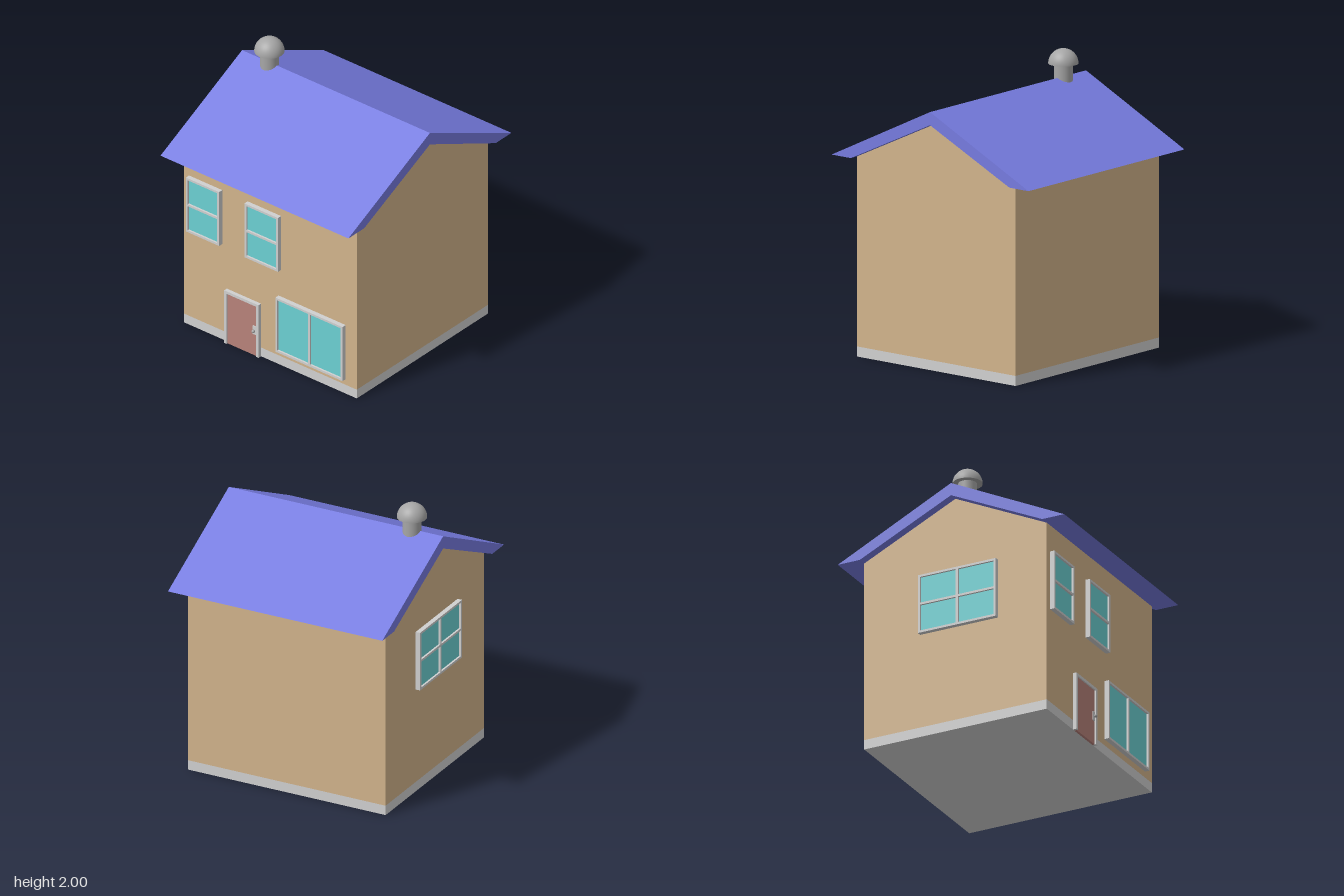
import * as THREE from 'three';

const material = (name, color) => {
  const m = new THREE.MeshStandardMaterial({ color });
  m.name = name;
  return m;
};

export function createModel() {
  const house = new THREE.Group();
  house.name = 'house';

  const tan = material('tan wall', 0xd2b48c);
  const lightGrey = material('light grey trim', 0xd0d0d0);
  const blue = material('blue roof', 0x767be0);
  const glass = material('turquoise glass', 0x6cd1d3);
  const red = material('dusty red door', 0xb8827a);
  const grey = material('grey metal', 0xa6a6a6);

  const add = (parent, name, geometry, mat, x = 0, y = 0, z = 0) => {
    const mesh = new THREE.Mesh(geometry, mat);
    mesh.name = name;
    mesh.position.set(x, y, z);
    parent.add(mesh);
    return mesh;
  };

  // Box given by its limits on each axis
  const block = (parent, name, mat, x0, x1, y0, y1, z0, z1) =>
    add(parent, name, new THREE.BoxGeometry(x1 - x0, y1 - y0, z1 - z0), mat,
      (x0 + x1) / 2, (y0 + y1) / 2, (z0 + z1) / 2);

  // Profile in z and y, drawn out along x
  const prism = (name, points, halfLength, mat) => {
    const shape = new THREE.Shape(points.map(([z, y]) => new THREE.Vector2(z, y)));
    const geometry = new THREE.ExtrudeGeometry(shape, { depth: halfLength * 2, bevelEnabled: false });
    geometry.translate(0, 0, -halfLength).rotateY(Math.PI / 2);
    return add(house, name, geometry, mat);
  };

  // Foundation, gabled walls and roof
  block(house, 'foundation', lightGrey, -0.757, 0.757, 0, 0.07, -0.697, 0.697);
  prism('walls', [[-0.697, 0.07], [0.697, 0.07], [0.697, 1.385], [0, 1.715], [-0.697, 1.385]], 0.757, tan);
  prism('roof', [[-0.865, 1.385], [-0.697, 1.385], [0, 1.715], [0.697, 1.385], [0.865, 1.385], [0, 1.806]], 0.822, blue);

  // Chimney with a domed cap
  const chimney = new THREE.Group();
  chimney.name = 'chimney';
  chimney.position.set(-0.583, 0, 0);
  house.add(chimney);
  add(chimney, 'pipe', new THREE.CylinderGeometry(0.064, 0.064, 0.13, 32), grey, 0, 1.84, 0);
  add(chimney, 'cap', new THREE.SphereGeometry(0.103, 32, 12, 0, Math.PI * 2, 0, Math.PI / 2), grey, 0, 1.897, 0);
  add(chimney, 'capUnderside', new THREE.CircleGeometry(0.103, 32).rotateX(Math.PI / 2), grey, 0, 1.897, 0);

  // Window: one frame with a grid of openings, glass set behind it
  const addWindow = (parent, name, x0, x1, y0, y1, columns, rows, wall) => {
    const group = new THREE.Group();
    group.name = name;
    parent.add(group);
    const rim = 0.016;
    const width = (x1 - x0 - rim * (columns + 1)) / columns;
    const height = (y1 - y0 - rim * (rows + 1)) / rows;
    for (let i = 0; i <= columns; i++) {
      const x = x0 + i * (width + rim);
      block(group, 'frameUpright', lightGrey, x, x + rim, y0, y1, wall, wall + 0.034);
    }
    for (let j = 0; j <= rows; j++) {
      const y = y0 + j * (height + rim);
      for (let i = 0; i < columns; i++) {
        const x = x0 + rim + i * (width + rim);
        block(group, 'frameRail', lightGrey, x, x + width, y, y + rim, wall, wall + 0.034);
      }
    }
    block(group, 'glass', glass, x0 + rim / 2, x1 - rim / 2, y0 + rim / 2, y1 - rim / 2, wall + 0.012, wall + 0.02);
  };

  const front = 0.697;
  addWindow(house, 'upperRightWindow', -0.71, -0.42, 0.76, 1.19, 1, 2, front);
  addWindow(house, 'upperMiddleWindow', -0.198, 0.095, 0.76, 1.19, 1, 2, front);
  addWindow(house, 'lowerWindow', 0.073, 0.66, 0.115, 0.547, 2, 1, front);

  const side = new THREE.Group();
  side.name = 'rightSide';
  side.rotation.y = -Math.PI / 2;
  house.add(side);
  addWindow(side, 'sideWindow', -0.27, 0.325, 0.76, 1.19, 2, 2, 0.757);

  // Door with frame, lock plate and knob
  const door = new THREE.Group();
  door.name = 'door';
  house.add(door);
  block(door, 'rightJamb', lightGrey, -0.38, -0.36, 0, 0.42, front, 0.725);
  block(door, 'leftJamb', lightGrey, -0.1, -0.08, 0, 0.42, front, 0.725);
  block(door, 'lintel', lightGrey, -0.36, -0.1, 0.4, 0.42, front, 0.725);
  block(door, 'doorPanel', red, -0.36, -0.1, 0, 0.4, front, 0.715);
  block(door, 'lockPlate', lightGrey, -0.134, -0.106, 0.17, 0.235, 0.715, 0.722);
  add(door, 'knobStem', new THREE.CylinderGeometry(0.006, 0.006, 0.014, 12).rotateX(Math.PI / 2), grey, -0.12, 0.2, 0.728);
  add(door, 'knob', new THREE.SphereGeometry(0.012, 16, 10), grey, -0.12, 0.2, 0.733);

  return house;
}
